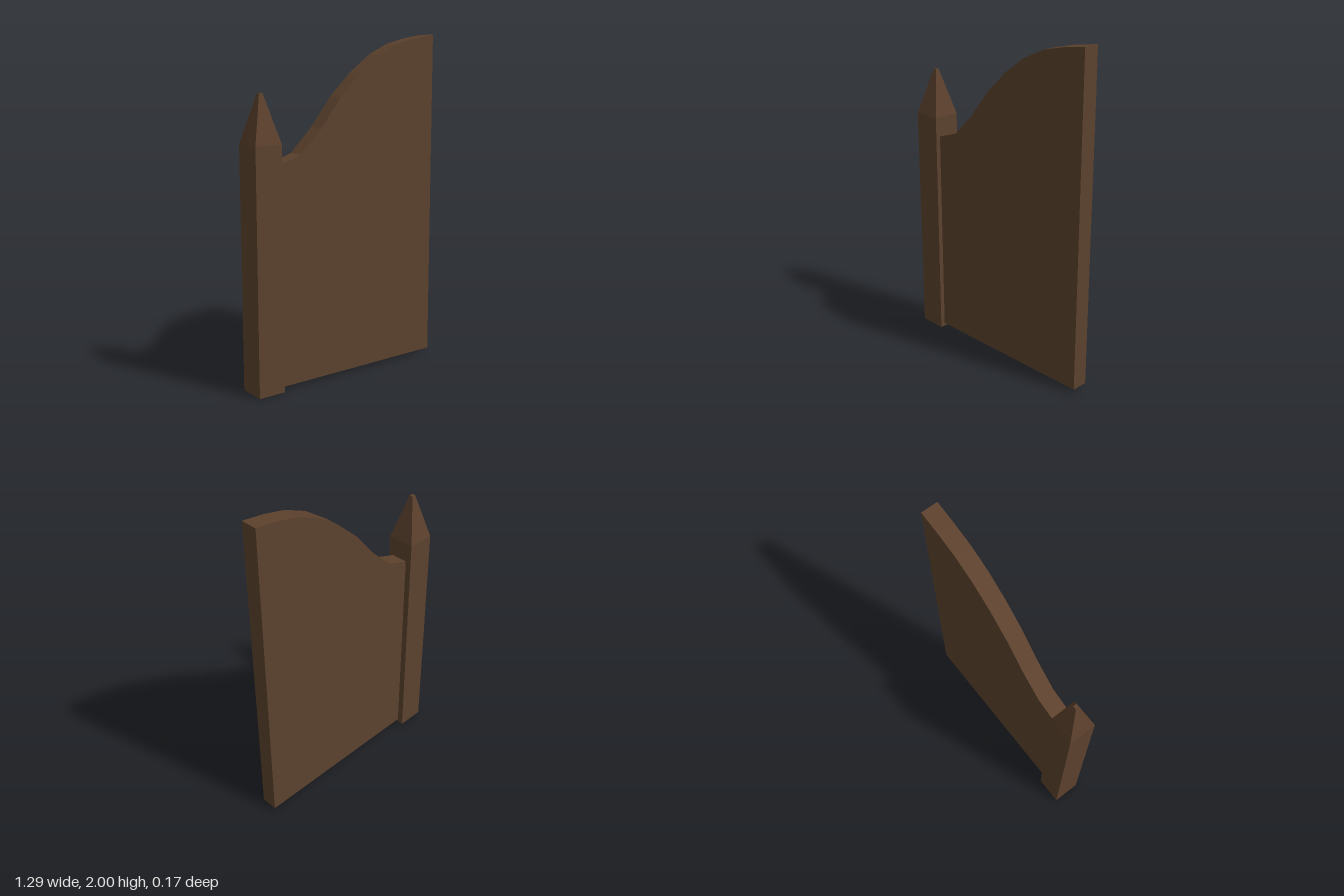
import * as THREE from 'three';

export function createModel() {
  const group = new THREE.Group();
  const wood = new THREE.MeshStandardMaterial({ color: 0x5c412d });
  wood.name = 'dark brown wood';

  const add = (geometry, name) => {
    const mesh = new THREE.Mesh(geometry, wood);
    mesh.name = name;
    group.add(mesh);
    return mesh;
  };

  // Square post with a tapered cap
  const postX = -0.56, half = 0.084, tip = 0.011, shoulder = 1.415, peak = 1.69;
  add(new THREE.BoxGeometry(half * 2, shoulder, half * 2), 'post')
    .position.set(postX, shoulder / 2, 0);

  // Four-sided frustum, turned so its sides line up with the post
  const cap = new THREE.CylinderGeometry(tip * Math.SQRT2, half * Math.SQRT2, peak - shoulder, 4)
    .rotateY(Math.PI / 4)
    .toNonIndexed();
  cap.computeVertexNormals();
  add(cap, 'postCap').position.set(postX, (shoulder + peak) / 2, 0);

  // Gate panel with a sweeping, faceted top edge
  const topEdge = [
    [-0.476, 1.296], [-0.333, 1.345], [-0.194, 1.48], [-0.055, 1.652], [0.086, 1.784],
    [0.225, 1.884], [0.363, 1.947], [0.502, 1.98], [0.642, 2],
  ];
  const outline = new THREE.Shape();
  outline.moveTo(-0.476, 0.02);
  outline.lineTo(0.642, 0.02);
  for (const [x, y] of [...topEdge].reverse()) outline.lineTo(x, y);
  outline.closePath();
  const panel = new THREE.ExtrudeGeometry(outline, { depth: 0.101, bevelEnabled: false });
  add(panel, 'gatePanel').position.z = -0.046;

  return group;
}
